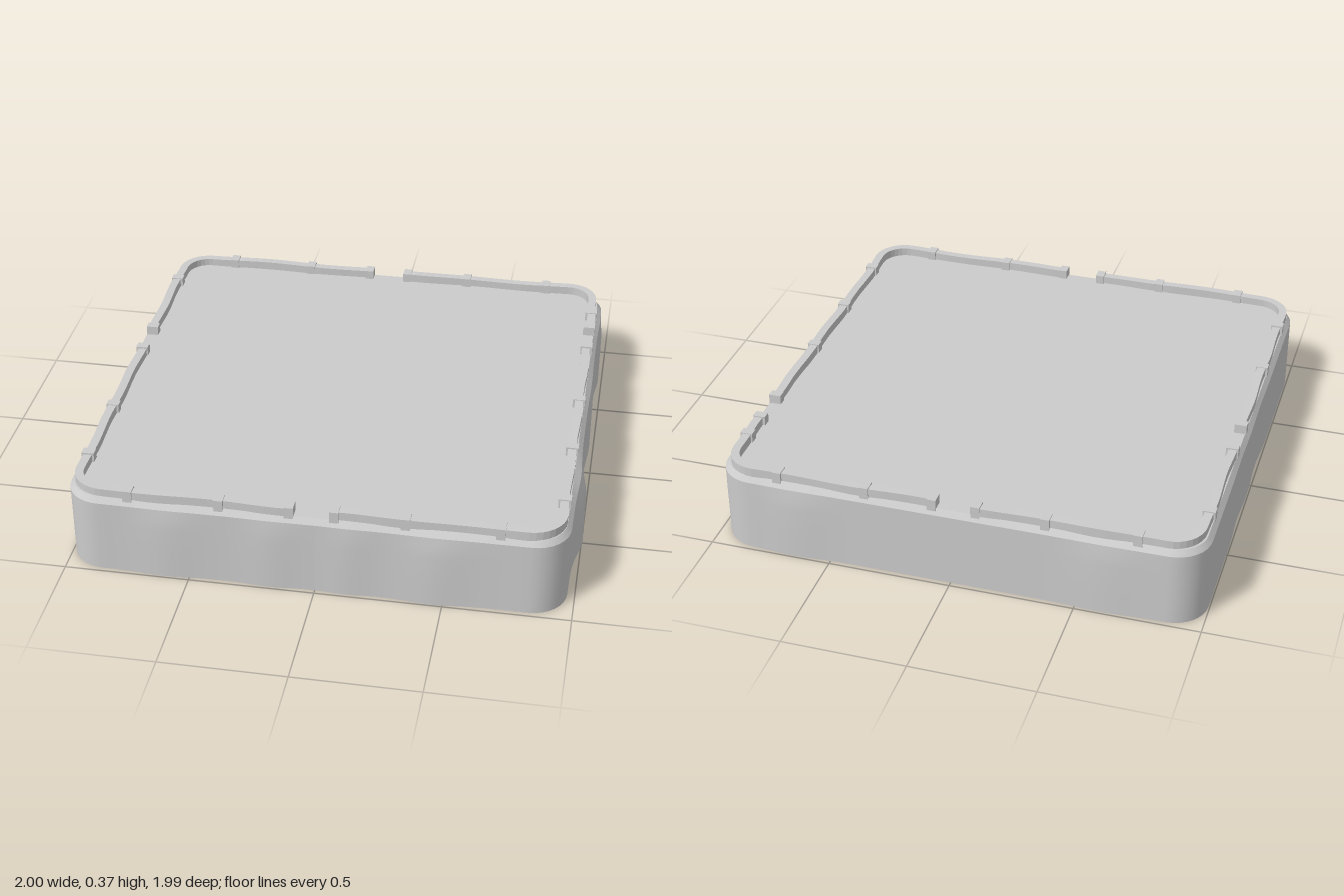
import * as THREE from 'three';

const CX = -0.012;          // the walls sit slightly off centre because one side bulges
const TOP = 0.333;          // height of the floor

// Path round corner k (0: +x+z, then on towards -x), from a spot on wall k to one on wall k + 1.
function cornerPath(k, start, end, hx, hz, r, steps = 24) {
  const a0 = k * Math.PI / 2;
  const n0 = [Math.round(Math.cos(a0)), Math.round(Math.sin(a0))];
  const n1 = [-n0[1], n0[0]];
  const onWall = (n, v) => n[0] ? [n[0] * hx + CX, v] : [v, n[1] * hz];
  const centre = [(n0[0] + n1[0]) * (hx - r) + CX, (n0[1] + n1[1]) * (hz - r)];
  const pts = [];
  const straight = (a, b, n) => {
    for (let i = 0; i < steps; i++) {
      const t = i / steps;
      pts.push({ x: a[0] + (b[0] - a[0]) * t, z: a[1] + (b[1] - a[1]) * t, nx: n[0], nz: n[1] });
    }
  };
  straight(onWall(n0, start), [centre[0] + n0[0] * r, centre[1] + n0[1] * r], n0);
  for (let i = 0; i < 8; i++) {
    const a = a0 + i / 8 * Math.PI / 2, nx = Math.cos(a), nz = Math.sin(a);
    pts.push({ x: centre[0] + nx * r, z: centre[1] + nz * r, nx, nz });
  }
  const last = onWall(n1, end);
  straight([centre[0] + n1[0] * r, centre[1] + n1[1] * r], last, n1);
  pts.push({ x: last[0], z: last[1], nx: n1[0], nz: n1[1] });
  return pts;
}

// Surface through equal-length cross-sections.
function loft(sections, closedSection = false) {
  const m = sections[0].length, pos = sections.flat(2), index = [];
  for (let i = 0; i < sections.length - 1; i++) {
    for (let j = 0; j < (closedSection ? m : m - 1); j++) {
      const a = i * m + j, b = i * m + (j + 1) % m;
      index.push(a, b, a + m, b, b + m, a + m);
    }
  }
  const g = new THREE.BufferGeometry();
  g.setAttribute('position', new THREE.Float32BufferAttribute(pos, 3));
  g.setIndex(index);
  g.computeVertexNormals();
  return g;
}

// Soft outward swellings of the skirt: [wall normal x, z, place along wall, amount, width]
const SWELLS = [
  [1, 0, 0.48, 0.034, 0.13], [1, 0, -0.75, 0.014, 0.1], [1, 0, -0.2, 0.012, 0.14],
  [0, 1, -0.6, 0.012, 0.12], [0, 1, -0.18, 0.01, 0.1], [0, 1, 0.12, 0.008, 0.08], [0, 1, 0.46, 0.014, 0.12],
  [0, -1, -0.6, 0.01, 0.14], [0, -1, 0.65, 0.012, 0.13],
  [-1, 0, 0.15, -0.008, 0.12], [-1, 0, -0.25, -0.006, 0.1],
];
function swell(p) {
  let s = 0;
  for (const [nx, nz, at, amount, width] of SWELLS) {
    const facing = Math.max(0, p.nx * nx + p.nz * nz);
    const d = ((nx ? p.z : p.x) - at) / width;
    s += amount * facing * Math.exp(-d * d);
  }
  return s;
}

export function createModel() {
  const model = new THREE.Group();
  const smooth = new THREE.MeshStandardMaterial({ color: 0xcccccc, side: THREE.DoubleSide });
  const flat = new THREE.MeshStandardMaterial({ color: 0xcccccc, side: THREE.DoubleSide, flatShading: true });
  const add = (name, geometry, material, parent = model) => {
    const mesh = new THREE.Mesh(geometry, material);
    mesh.name = name;
    parent.add(mesh);
    return mesh;
  };

  // Outer skirt, open underneath, and the sloped edge above it
  const outline = [0, 1, 2, 3].flatMap(k => cornerPath(k, 0, 0, 0.983, 0.98, 0.14));
  const ring = levels => loft(outline.map(p => levels.map(([y, inset, bulge]) => {
    const d = swell(p) * bulge - inset;
    return [p.x + p.nx * d, y, p.z + p.nz * d];
  })));
  add('skirt', ring([[0, 0, 1], [0.1, 0, 1], [0.22, 0, 1], [0.27, 0, 0.65], [0.31, 0, 0.25]]), smooth);
  add('slopedEdge', ring([[0.31, 0, 0.25], [TOP, 0.018, 0]]), smooth);

  // Floor
  const floorShape = new THREE.Shape(outline.map(p =>
    new THREE.Vector2(p.x - p.nx * 0.018, -(p.z - p.nz * 0.018))));
  add('floor', new THREE.ShapeGeometry(floorShape).rotateX(-Math.PI / 2).translate(0, TOP, 0), smooth);

  // Low kerb: four runs round the corners, with an opening in each side
  const kerb = new THREE.Group();
  kerb.name = 'kerb';
  model.add(kerb);
  const runs = [[-0.43, 0.075], [-0.1, -0.105], [-0.28, -0.1], [0.075, -0.59]];
  runs.forEach(([start, end], k) => {
    const sections = cornerPath(k, start, end, 0.945, 0.945, 0.115, 16).map(p => {
      const wave = 0.003 * Math.sin(p.x * 13 + p.z * 17);
      const top = 0.367 + 0.002 * Math.sin(p.x * 9 - p.z * 7);
      return [[-0.017, 0.328], [0.017, 0.328], [0.017, top], [-0.017, top]].map(([o, y]) =>
        [p.x + p.nx * (o + wave), y, p.z + p.nz * (o + wave)]);
    });
    add('kerbRun', loft(sections, true), flat, kerb);
  });

  // Small posts along the kerb
  const posts = new THREE.Group();
  posts.name = 'posts';
  model.add(posts);
  const alongX = new THREE.BoxGeometry(0.036, 0.05, 0.05);
  const alongZ = new THREE.BoxGeometry(0.05, 0.05, 0.036);
  const post = (geometry, x, z) => add('post', geometry, flat, posts).position.set(x, 0.347, z);
  for (const z of [0.945, -0.945]) {
    for (const x of [-0.735, -0.375, -0.1, 0.075, 0.35, 0.712]) post(alongX, x, z);
  }
  for (const z of [-0.725, -0.595, -0.43, 0, 0.36, 0.72]) post(alongZ, CX + 0.945, z);
  for (const z of [-0.725, -0.28, -0.105, 0.36, 0.72]) post(alongZ, CX - 0.945, z);

  return model;
}
